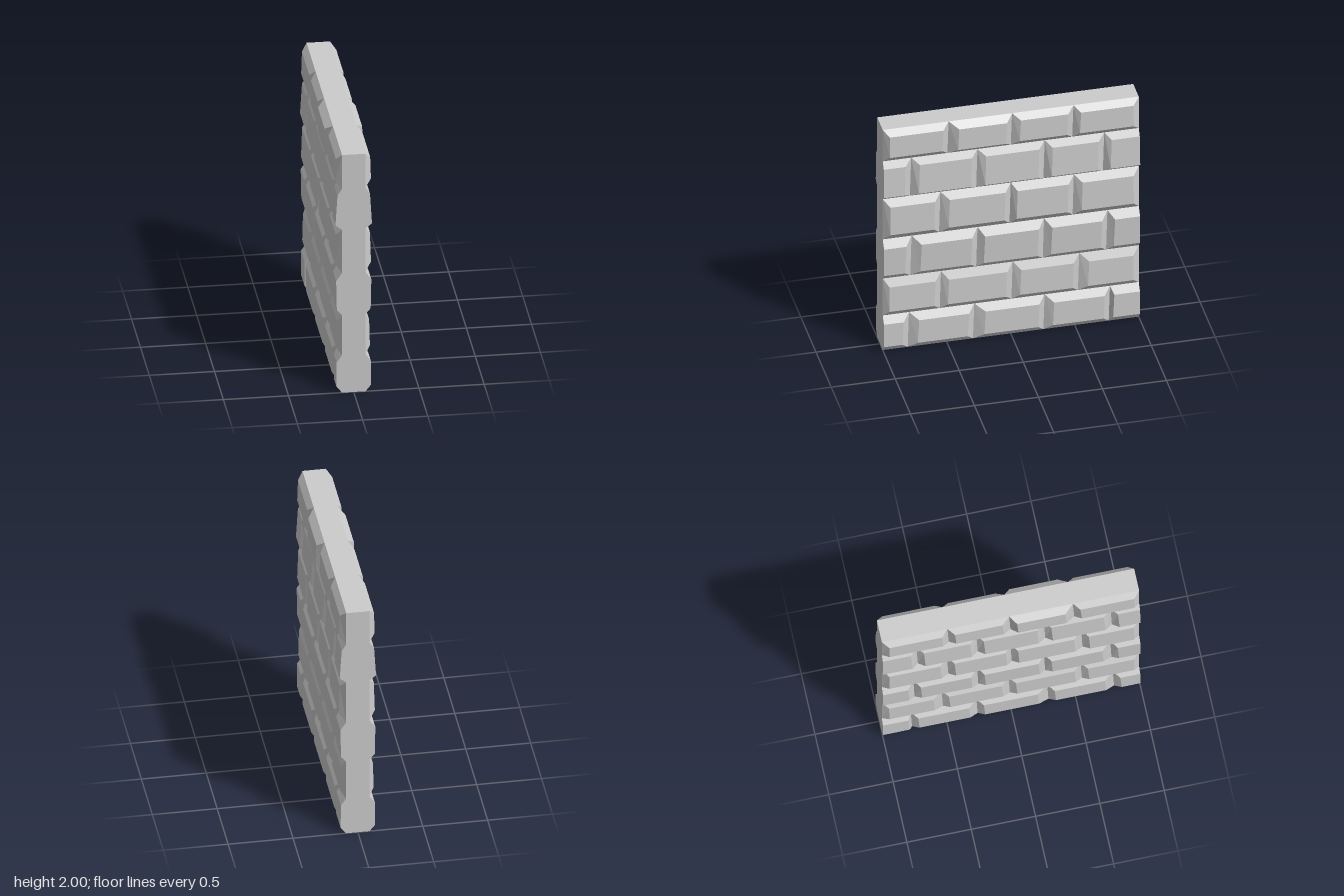
import * as THREE from 'three';

const CORE = 0.09; // half thickness of the mortar slab
const LEAN = 0.005; // seams lean slightly toward -z at the top
const BEVEL = 0.05; // bevel on the -z end of each brick

// Courses from the ground up. y: bottom and top joint. depth and bevel: at the
// brick's bottom and top. seams: [z, bevel of the brick after it]. start: bevel
// at the z = 1 end; courses starting at 0 are cut flush at both ends.
const courses = [
  { y: [0, 0.315], depth: [0.133, 0.131], bevel: [0.053, 0.06], start: 0,
    seams: [[0.8, 0.07], [0.29, 0.08], [-0.26, 0.065], [-0.77, 0.025]] },
  { y: [0.315, 0.65], depth: [0.13, 0.124], bevel: [0.05, 0.067], start: 0.045,
    seams: [[0.55, 0.055], [-0.01, 0.06], [-0.53, 0.07]] },
  { y: [0.65, 1.006], depth: [0.13, 0.135], bevel: [0.047, 0.066], start: 0,
    seams: [[0.78, 0.07], [0.265, 0.05], [-0.255, 0.055], [-0.75, 0.05]] },
  { y: [1.006, 1.371], depth: [0.139, 0.131], bevel: [0.06, 0.06], start: 0.05,
    seams: [[0.555, 0.065], [0.005, 0.045], [-0.488, 0.06]] },
  { y: [1.371, 1.715], depth: [0.14, 0.125], bevel: [0.04, 0.055], start: 0,
    seams: [[0.783, 0.06], [0.265, 0.06], [-0.26, 0.055], [-0.725, 0.05]] },
  { y: [1.715, 2], depth: [0.138, 0.132], bevel: [0.053, 0.05], start: 0.045, proud: 1,
    seams: [[0.49, 0.07], [-0.005, 0.06], [-0.485, 0.05]] },
];

// Bevelled brick between two seams on the +x (side 1) or -x (side -1) face
function brickGeometry(course, z0, z1, before, after, extra, side) {
  // Corners as [near the z0 end, top], anticlockwise seen from +x
  const corners = [[1, 1], [1, 0], [0, 0], [0, 1]];
  const outer = corners.map(([first, top]) => {
    const z = first ? z0 : z1;
    const lean = Math.abs(z) === 1 ? 0 : top ? -LEAN : LEAN;
    return [side * CORE, course.y[top], z + lean];
  });
  const inner = outer.map(([, y, z], i) => {
    const [first, top] = corners[i];
    return [
      side * (course.depth[top] + extra),
      y + (top ? -course.bevel[1] : course.bevel[0]),
      z + (first ? -before : after),
    ];
  });
  const pos = [];
  const quad = (p, q, r, s) => {
    const order = side > 0 ? [p, q, r, p, r, s] : [p, r, q, p, s, r];
    order.forEach((v) => pos.push(...v));
  };
  quad(...inner);
  for (let i = 0; i < 4; i++) {
    const j = (i + 1) % 4;
    quad(outer[i], outer[j], inner[j], inner[i]);
  }
  const geo = new THREE.BufferGeometry();
  geo.setAttribute('position', new THREE.Float32BufferAttribute(pos, 3));
  geo.computeVertexNormals();
  return geo;
}

export function createModel() {
  const group = new THREE.Group();
  group.name = 'brickWall';
  const stone = new THREE.MeshStandardMaterial({ color: 0xcccccc });
  stone.name = 'stone grey';

  // Mortar slab
  const slab = new THREE.Mesh(new THREE.BoxGeometry(CORE * 2, 2, 2), stone);
  slab.name = 'mortarSlab';
  slab.position.y = 1;
  group.add(slab);

  // Mirrored brick courses on both sides
  for (const side of [1, -1]) {
    const face = new THREE.Group();
    face.name = side > 0 ? 'leftBrickFace' : 'rightBrickFace';
    courses.forEach((course, row) => {
      const ends = [[1, course.start], ...course.seams, [-1, 0]];
      for (let i = 0; i < ends.length - 1; i++) {
        const [z0, before] = ends[i];
        const z1 = ends[i + 1][0];
        const after = z1 === -1 && course.start === 0 ? 0 : BEVEL;
        const extra = course.proud === i ? 0.012 : 0;
        const brick = new THREE.Mesh(brickGeometry(course, z0, z1, before, after, extra, side), stone);
        brick.name = `brick course ${row + 1} number ${i + 1}`;
        face.add(brick);
      }
    });
    group.add(face);
  }
  return group;
}
